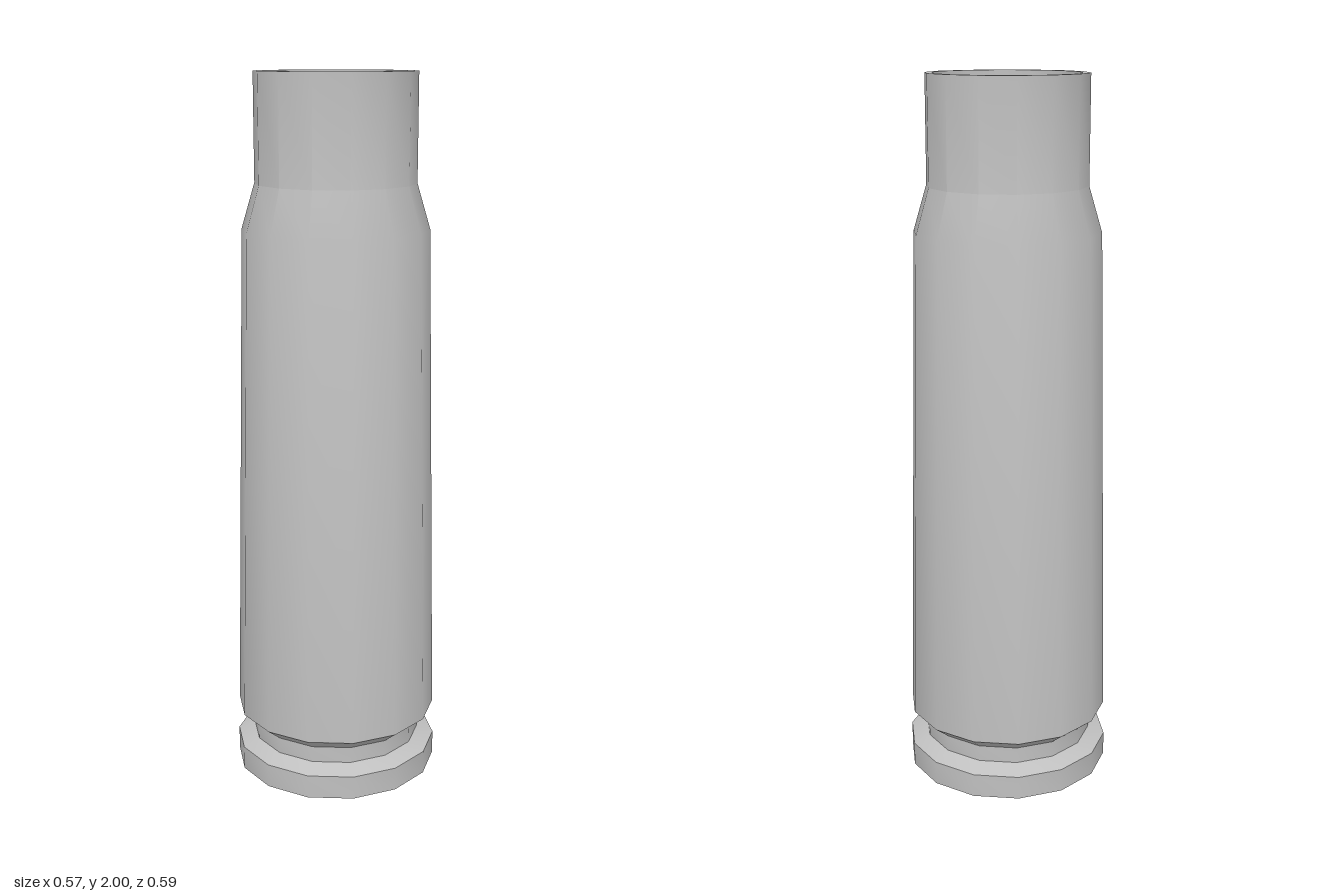
import * as THREE from 'three';
import { toCreasedNormals } from 'three/addons/utils/BufferGeometryUtils.js';

const SIDES = 14;

export function createModel() {
  const group = new THREE.Group();
  const metal = new THREE.MeshStandardMaterial({ color: 0xc0c0c0 });
  metal.name = 'grey metal';

  // Turns a [radius, height] profile; edges sharper than 30 degrees stay crisp
  const turn = (name, profile) => {
    const points = profile.map(([r, y]) => new THREE.Vector2(r, y));
    const geometry = toCreasedNormals(new THREE.LatheGeometry(points, SIDES), Math.PI / 6);
    const mesh = new THREE.Mesh(geometry, metal);
    mesh.name = name;
    group.add(mesh);
  };

  // Closed base disc, base flange and the groove above it
  turn('baseFlange', [[0, 0], [0.293, 0], [0.293, 0.068], [0.245, 0.088], [0.245, 0.135]]);

  // Flared foot, tapered wall, shoulder and neck, then over the lip and down inside
  turn('caseWall', [
    [0.245, 0.135], [0.29, 0.172], [0.259, 1.58], [0.222, 1.705], [0.222, 2],
    [0.203, 2], [0.203, 1.84],
  ]);

  // Flat floor inside the mouth
  turn('mouthFloor', [[0.203, 1.84], [0, 1.84]]);

  return group;
}
